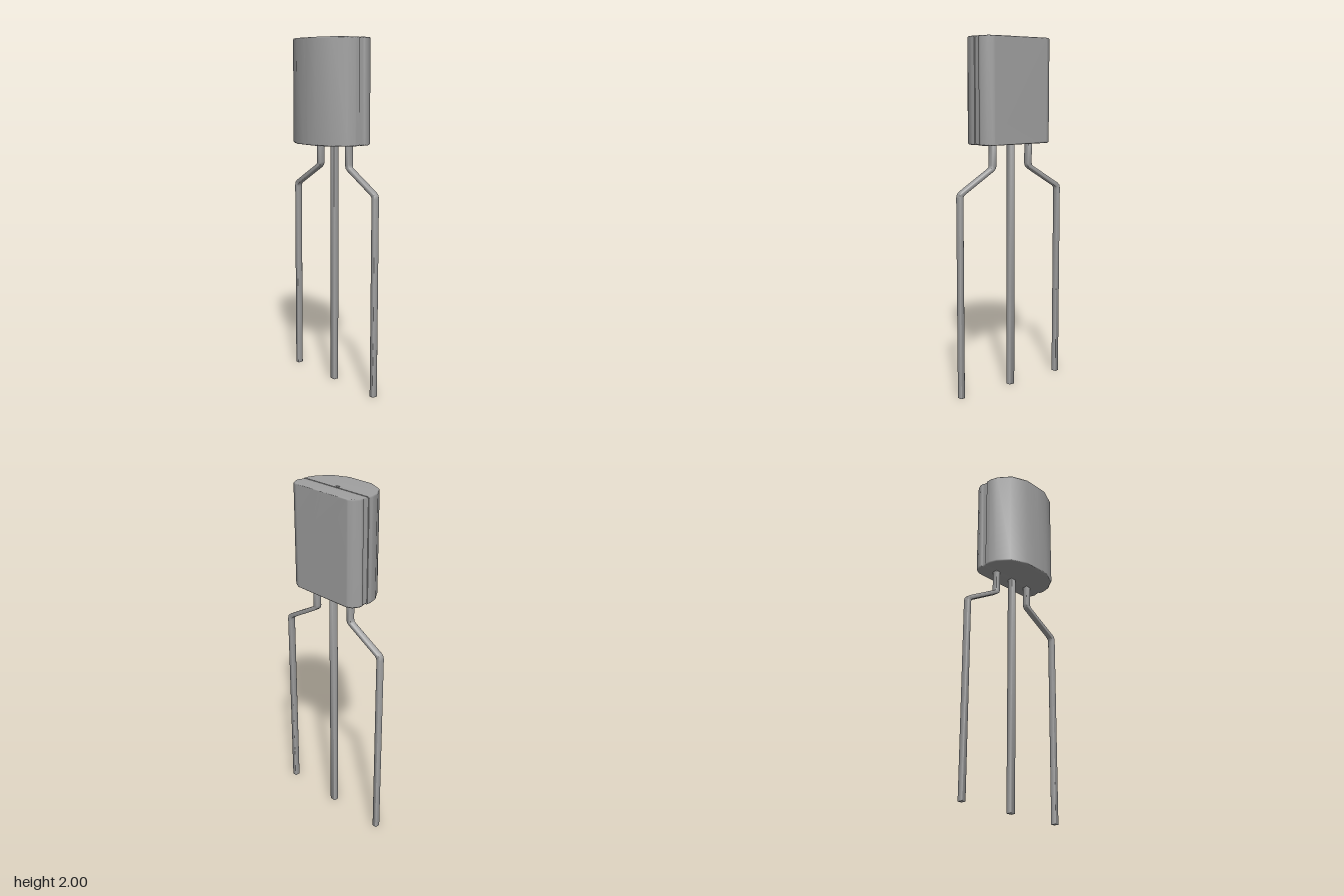
import * as THREE from 'three';
import { toCreasedNormals } from 'three/addons/utils/BufferGeometryUtils.js';

const mat = new THREE.MeshStandardMaterial({ color: 0xa0a0a0, side: THREE.DoubleSide });
const BOTTOM = 1.412, TOP = 2, LEG_X = 0.057, LEG_DEPTH = 0.035;

// Body stations along x: [x, half width in z, inset of top and bottom, depth of the pit].
// A repeated station keeps the edge there sharp.
const STATIONS = [
  [-0.148, 0.02, 0.004, 0], [-0.144, 0.087, 0.001, 0], [-0.103, 0.18, 0, 0],
  [-0.033, 0.232, 0, 0], [0.01, 0.244, 0, 0],
  [0.017, 0.244, 0, 0], [0.017, 0.244, 0, 0], [0.017, 0.244, 0, 0.012],
  [0.032, 0.244, 0, 0.012], [0.032, 0.244, 0, 0], [0.032, 0.244, 0, 0],
  [0.04, 0.244, 0, 0], [0.04, 0.244, 0, 0], [0.04, 0.238, 0.003, 0], [0.04, 0.238, 0.003, 0],
  [0.062, 0.238, 0, 0], [0.074, 0.238, 0, 0], [0.078, 0.244, 0, 0],
  [0.097, 0.244, 0, 0], [0.13, 0.225, 0, 0], [0.143, 0.199, 0, 0], [0.147, 0.19, 0.004, 0],
];

// Cross-section with chamfered corners and a slot in its top edge for the pit
function section([x, w, inset, pit]) {
  const b = 0.007, p = 0.014, y0 = BOTTOM + inset, y1 = TOP - inset;
  const s = Math.min(p, w - b);
  return [
    [y0, w - b], [y0, b - w], [y0 + b, -w], [y1 - b, -w], [y1, b - w],
    [y1, -s], [y1 - pit, -s], [y1 - pit, s], [y1, s],
    [y1, w - b], [y1 - b, w], [y0 + b, w],
  ].map(([y, z]) => [x, y, z]);
}

function bodyGeometry() {
  const loops = STATIONS.map(section), n = loops[0].length, last = loops.length - 1;
  const index = [];
  for (let i = 0; i < last; i++) {
    for (let j = 0; j < n; j++) {
      const k = (j + 1) % n, a = i * n, c = a + n;
      index.push(a + j, a + k, c + k, a + j, c + k, c + j);
    }
  }
  // Flat ends
  for (let j = 1; j < n - 1; j++) {
    index.push(0, j + 1, j);
    index.push(last * n, last * n + j, last * n + j + 1);
  }
  const g = new THREE.BufferGeometry();
  g.setAttribute('position', new THREE.Float32BufferAttribute(loops.flat(2), 3));
  g.setIndex(index);
  g.computeVertexNormals();
  return g;
}

// Leg cut from a side outline of [z, y] points, with slightly eased edges
function leg(name, outline) {
  const e = 0.003;
  const shape = new THREE.Shape(outline.map(([z, y]) => new THREE.Vector2(z, y)));
  const g = new THREE.ExtrudeGeometry(shape, {
    depth: LEG_DEPTH - 2 * e, bevelEnabled: true, bevelSize: e, bevelThickness: e,
    bevelOffset: -e, bevelSegments: 1,
  });
  g.translate(0, 0, e - LEG_DEPTH / 2).rotateY(-Math.PI / 2).translate(LEG_X, 0, 0);
  const mesh = new THREE.Mesh(toCreasedNormals(g, 0.8), mat);
  mesh.name = name;
  return mesh;
}

export function createModel() {
  const group = new THREE.Group();
  group.name = 'threeLegComponent';

  const body = new THREE.Mesh(bodyGeometry(), mat);
  body.name = 'body';
  group.add(body);

  // Straight middle leg
  const top = BOTTOM + 0.008;
  group.add(leg('middleLeg', [[-0.018, 0], [0.018, 0], [0.018, top], [-0.018, top]]));

  // Outer legs, splayed outward below the body
  const bent = [
    [0.116, top], [0.116, 1.292], [0.122, 1.275], [0.138, 1.262], [0.338, 1.148],
    [0.346, 1.138], [0.348, 1.12], [0.348, 0], [0.375, 0], [0.375, 1.135],
    [0.37, 1.153], [0.358, 1.165], [0.162, 1.276], [0.151, 1.284], [0.148, 1.296], [0.148, top],
  ];
  group.add(leg('frontLeg', bent));
  group.add(leg('backLeg', bent.map(([z, y]) => [-z, y])));
  return group;
}
